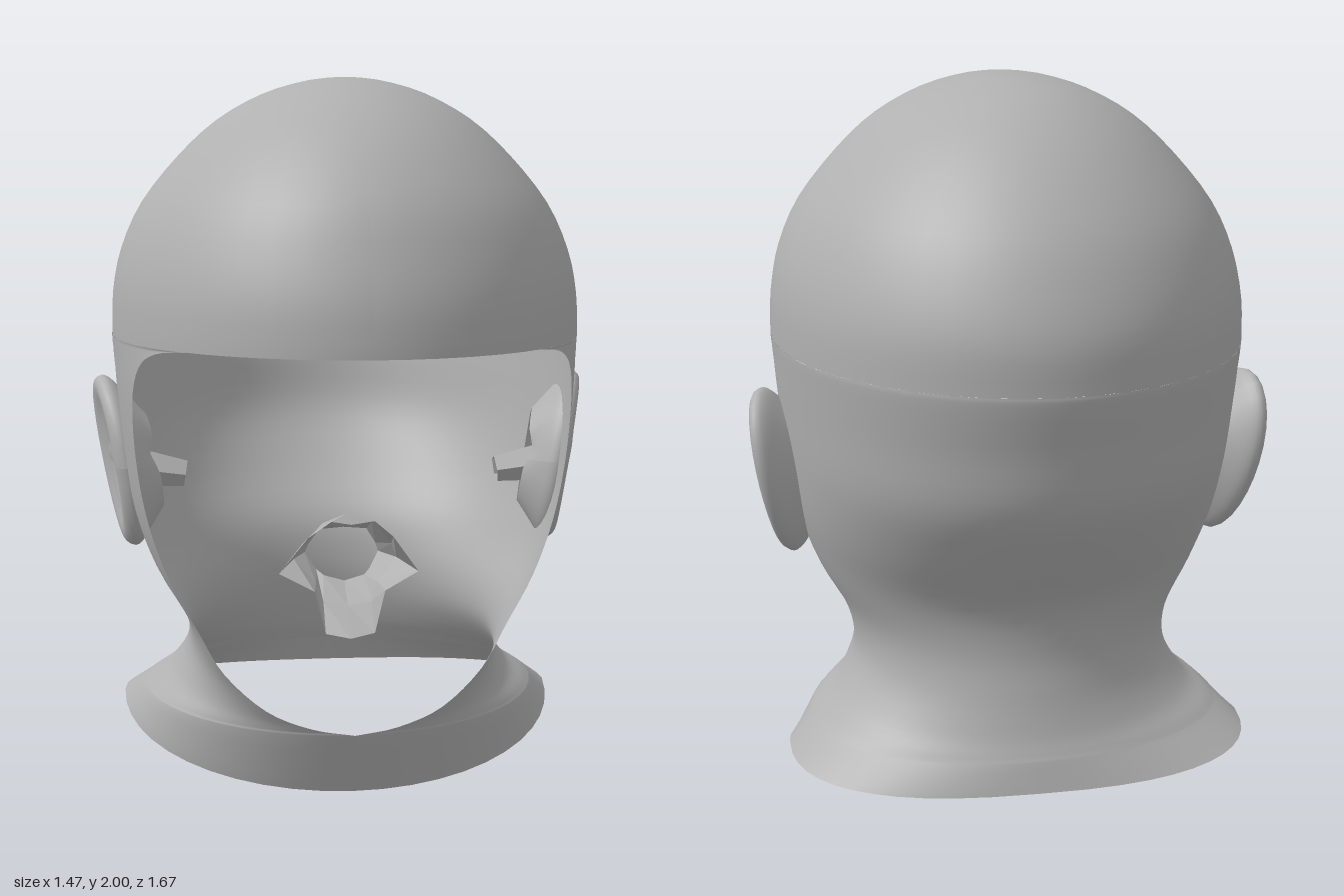
import * as THREE from 'three';

const skin = new THREE.MeshStandardMaterial({ color: 0xb0b0b0, side: THREE.DoubleSide });
skin.name = 'plain grey';

// Smooth interpolation through rows of numbers, t from 0 to 1
function spline(knots, t) {
  const n = knots.length - 1;
  const i = Math.min(Math.floor(t * n), n - 1);
  const f = t * n - i;
  return knots[i].map((p1, k) => {
    const p2 = knots[i + 1][k];
    const p0 = i > 0 ? knots[i - 1][k] : 2 * p1 - p2;
    const p3 = i < n - 1 ? knots[i + 2][k] : 2 * p2 - p1;
    return p1 + 0.5 * f * (p2 - p0 + f * (2 * p0 - 5 * p1 + 4 * p2 - p3 + f * (3 * (p1 - p2) + p3 - p0)));
  });
}

// Grid surface from point(u, v), rows running upwards
function surface(cols, rows, point) {
  const pos = [], index = [];
  for (let j = 0; j <= rows; j++) {
    for (let i = 0; i <= cols; i++) pos.push(...point(i / cols, j / rows));
  }
  for (let j = 0; j < rows; j++) {
    for (let i = 0; i < cols; i++) {
      const a = j * (cols + 1) + i, b = a + cols + 1;
      index.push(a, a + 1, b + 1, a, b + 1, b);
    }
  }
  const g = new THREE.BufferGeometry();
  g.setAttribute('position', new THREE.Float32BufferAttribute(pos, 3));
  g.setIndex(index);
  g.computeVertexNormals();
  return g;
}

// Hide the joins: mirror line, crown, and the brow ring shared by both shells
function smoothJoins(g) {
  const p = g.attributes.position, nor = g.attributes.normal;
  const n = new THREE.Vector3();
  for (let i = 0; i < p.count; i++) {
    const x = p.getX(i), y = p.getY(i), z = p.getZ(i);
    n.fromBufferAttribute(nor, i);
    if (Math.abs(x) < 1e-4) n.x = 0;
    if (y > 1.999) n.set(0, 1, 0);
    if (Math.abs(y - 1.28) < 1e-5) n.set(x / 0.442, 0, z / 0.693);
    n.normalize();
    nor.setXYZ(i, n.x, n.y, n.z);
  }
  return g;
}

// Egg-shaped section: half width, centre, front depth, back depth
const section = (a, y, w, zc, df, db) => [w * Math.sin(a), y, zc + (Math.cos(a) > 0 ? df : db) * Math.cos(a)];

// Skull rows: y, half width, front z, back z
const skullRows = [
  [1.28, 0.665, 0.835, 0.83], [1.4, 0.66, 0.825, 0.828], [1.52, 0.635, 0.79, 0.79],
  [1.65, 0.575, 0.73, 0.72], [1.78, 0.47, 0.62, 0.605], [1.88, 0.36, 0.49, 0.48],
  [1.95, 0.235, 0.34, 0.34], [1.988, 0.11, 0.17, 0.17], [2, 0, 0, 0],
];
// Face rows: y, half width, centre z, back z, opening edge x, opening edge z
const faceRows = [
  [0.19, 0.60, -0.21, -0.595, 0, 0.40], [0.21, 0.575, -0.2, -0.585, 0.12, 0.395],
  [0.26, 0.51, -0.17, -0.565, 0.245, 0.38], [0.36, 0.458, -0.11, -0.54, 0.36, 0.35],
  [0.48, 0.475, -0.06, -0.525, 0.43, 0.335], [0.62, 0.555, -0.02, -0.55, 0.505, 0.33],
  [0.78, 0.61, 0, -0.66, 0.56, 0.33], [0.95, 0.635, 0, -0.765, 0.59, 0.335],
  [1.12, 0.652, 0, -0.80, 0.597, 0.36], [1.22, 0.66, 0, -0.822, 0.577, 0.415],
  [1.265, 0.664, 0, -0.83, 0.53, 0.50], [1.28, 0.665, 0, -0.83, 0.45, 0.615],
];

function skullPoint(u, v) {
  const [y, w, f, b] = spline(skullRows, v);
  return section(u * Math.PI * 2, y, w, 0, f, b);
}

function facePoint(u, v) {
  const [y, w, zc, zb, e, ez] = spline(faceRows, v);
  const a0 = Math.asin(Math.min(0.99, Math.max(0, e / w)));
  const a = a0 + u * 2 * (Math.PI - a0);
  return section(a, y, w, zc, (ez - zc) / Math.cos(a0), zc - zb);
}

// Flared lower rim, squarer towards the back shoulders
function rimPoint(u) {
  const a = u * Math.PI * 2, c = Math.cos(a), s = Math.sin(a);
  const p = c < 0 ? 0.78 : 1;
  const x = 0.66 * Math.sign(s) * Math.abs(s) ** p;
  const z = -0.25 + (c > 0 ? 0.57 * c : -0.37 * Math.abs(c) ** p);
  return [Math.abs(x) < 1e-6 ? 0 : x, c > 0 ? 0.14 * (1 - c) : 0.14 + 0.03 * c, z];
}

const COLLAR = 4, FACE = 44;
function neckPoint(u, v) {
  const row = Math.round(v * (COLLAR + FACE));
  if (row >= COLLAR) return facePoint(u, (row - COLLAR) / FACE);
  const chin = facePoint(u, 0), t = row / COLLAR;
  return rimPoint(u).map((r, k) => r + (chin[k] - r) * t);
}

// Ear: a dished lathe, stretched, leaned outwards and flared at the back
function earGeometry() {
  const profile = [
    [0.55, -0.1], [0.8, -0.05], [0.95, -0.02], [1, 0.005], [0.93, 0.028], [0.8, 0.032],
    [0.62, 0.02], [0.45, 0.012], [0.28, -0.012], [0.12, -0.035], [0, -0.04],
  ].map(([r, h]) => new THREE.Vector2(r, h));
  const g = new THREE.LatheGeometry(new THREE.SplineCurve(profile).getPoints(24), 28);
  const p = g.attributes.position;
  for (let i = 0; i < p.count; i++) {
    const h = p.getY(i), up = -p.getX(i), back = -p.getZ(i);
    const dy = 0.25 * up;
    const dz = -0.165 * back * (1 + 0.1 * up) - 0.12 * dy;
    // a fold running from the front edge into the bowl
    const fold = 0.025 * Math.exp(-((up - 0.12) ** 2) / 0.02 - ((back + 0.4) ** 2) / 0.08);
    p.setXYZ(i, 0.655 + h + fold + 0.15 * dy - 0.2 * dz, 0.895 + dy, -0.07 + dz);
  }
  g.computeVertexNormals();
  return g;
}

// Faceted nose and mouth cavity, lofted from half outlines mirrored in x
function cavityGeometry() {
  const rings = [
    [[0, 0.76, 0.28], [0.06, 0.78, 0.33], [0.12, 0.72, 0.26], [0.2, 0.605, 0.2], [0.1, 0.56, 0.24], [0.07, 0.44, 0.25], [0, 0.43, 0.27]],
    [[0, 0.765, 0.14], [0.07, 0.74, 0.15], [0.13, 0.67, 0.12], [0.15, 0.62, 0.08], [0.09, 0.56, 0.14], [0.07, 0.51, 0.16], [0, 0.50, 0.17]],
    [[0, 0.70, 0.02], [0.07, 0.69, 0.0], [0.1, 0.64, -0.03], [0.11, 0.61, -0.05], [0.08, 0.57, 0.0], [0.06, 0.56, 0.04], [0, 0.545, 0.05]],
  ].map(half => [...half, ...half.slice(0, -1).reverse().map(([x, y, z]) => [-x, y, z])]);
  const g = surface(12, 2, (u, v) => rings[Math.round(v * 2)][Math.round(u * 12)]).toNonIndexed();
  g.computeVertexNormals();
  return g;
}

export function createModel() {
  const model = new THREE.Group();
  model.name = 'openFaceHead';
  const add = (name, geometry, parent = model) => {
    const mesh = new THREE.Mesh(geometry, skin);
    mesh.name = name;
    parent.add(mesh);
    return mesh;
  };

  add('skull', smoothJoins(surface(48, 24, skullPoint)));
  add('faceSidesAndNeck', smoothJoins(surface(48, COLLAR + FACE, neckPoint)));
  add('noseAndMouthCavity', cavityGeometry());

  for (const [side, s] of [['left', 1], ['right', -1]]) {
    const group = new THREE.Group();
    group.name = side + 'EarGroup';
    group.scale.x = s;
    add(side + 'Ear', earGeometry(), group);
    // Faceted ear canal reaching inside the shell
    const canal = new THREE.CylinderGeometry(0.06, 0.04, 0.15, 5, 1, true).toNonIndexed();
    canal.computeVertexNormals();
    const mesh = add(side + 'EarCanal', canal, group);
    mesh.rotation.z = -Math.PI / 2 + 0.15;
    mesh.position.set(0.535, 0.87, -0.04);
    model.add(group);
  }
  return model;
}
